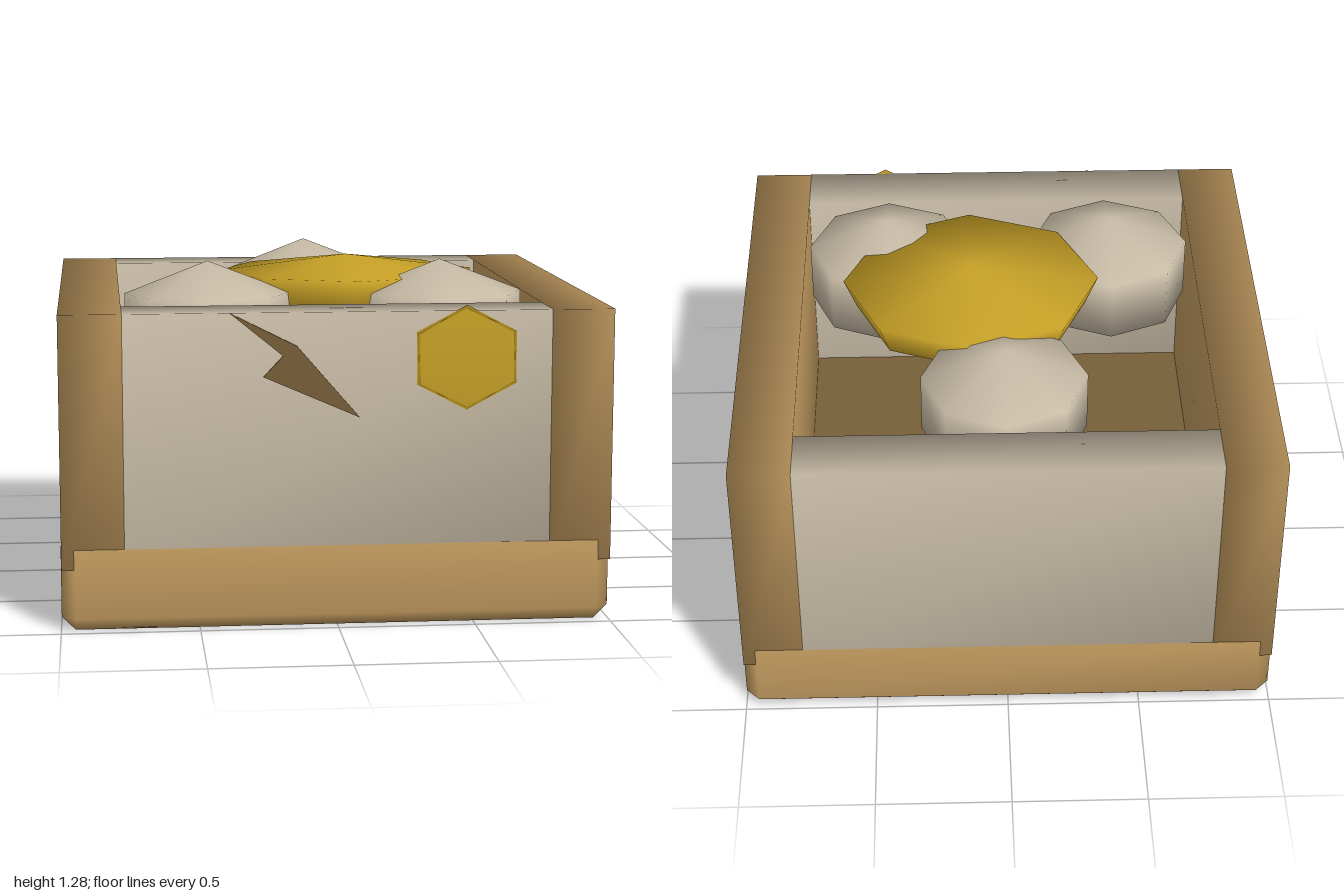
import * as THREE from 'three';
import { mergeVertices } from 'three/addons/utils/BufferGeometryUtils.js';
import { ConvexGeometry } from 'three/addons/geometries/ConvexGeometry.js';

function material(name, color) {
  const m = new THREE.MeshStandardMaterial({ color });
  m.name = name;
  return m;
}

// Shared vertices with averaged normals give softly shaded edges
function soften(geometry) {
  geometry.deleteAttribute('normal');
  if (geometry.attributes.uv) geometry.deleteAttribute('uv');
  const g = mergeVertices(geometry, 1e-4);
  g.computeVertexNormals();
  return g;
}

// Box given by its minimum and maximum on each axis
function softBox([x0, x1], [y0, y1], [z0, z1]) {
  const g = new THREE.BoxGeometry(x1 - x0, y1 - y0, z1 - z0);
  g.translate((x0 + x1) / 2, (y0 + y1) / 2, (z0 + z1) / 2);
  return soften(g);
}

// Box with every edge cut off by c
function chamferBox(w, h, d, c) {
  const points = [];
  for (const sx of [-1, 1]) for (const sy of [-1, 1]) for (const sz of [-1, 1]) {
    const [x, y, z] = [w / 2, h / 2, d / 2];
    points.push(
      new THREE.Vector3(sx * x, sy * (y - c), sz * (z - c)),
      new THREE.Vector3(sx * (x - c), sy * y, sz * (z - c)),
      new THREE.Vector3(sx * (x - c), sy * (y - c), sz * z));
  }
  return soften(new ConvexGeometry(points));
}

export function createModel() {
  const group = new THREE.Group();
  const wood = material('light wood', 0xc19a5f);
  const darkWood = material('dark wood', 0x785f39);
  const cream = material('cream', 0xc8bca6);
  const gold = material('gold', 0xc9a227);

  function add(name, geometry, mat, x = 0, y = 0, z = 0) {
    const mesh = new THREE.Mesh(geometry, mat);
    mesh.name = name;
    mesh.position.set(x, y, z);
    group.add(mesh);
    return mesh;
  }

  // Chamfered base and the floor lying inside the box
  add('base', chamferBox(1.996, 0.35, 1.988, 0.05), wood, 0, 0.175, -0.003);
  add('floor', new THREE.BoxGeometry(1.54, 0.008, 1.55), darkWood, 0, 0.355, -0.007);

  // Thick wooden sides, cream front and back panels between them
  const depth = [-0.995, 0.988];
  add('leftWall', softBox([0.77, 0.996], [0.23, 1.15], depth), wood);
  add('rightWall', softBox([-0.996, -0.77], [0.23, 1.15], depth), wood);
  add('frontPanel', softBox([-0.77, 0.77], [0.23, 1.15], [0.765, 0.988]), cream);
  add('backPanel', softBox([-0.77, 0.77], [0.23, 1.15], [-0.995, -0.778]), cream);

  // Flattened eight-sided cream balls
  const ball = new THREE.SphereGeometry(0.36, 8, 3);
  ball.scale(1, 0.24 / 0.36, 1);
  [[-0.44, 0.43], [0.44, 0.43], [0, -0.45]].forEach(([x, z], i) =>
    add('creamBall' + (i + 1), ball, cream, x, 1.04, z));

  // Wide gold nugget, pressed flat while keeping its round shading
  const nugget = new THREE.SphereGeometry(0.56, 8, 3);
  const p = nugget.attributes.position;
  for (let i = 0; i < p.count; i++) {
    const taper = p.getY(i) < 0 ? 0.9 : 1;
    p.setXYZ(i, p.getX(i) * taper * 1.02, p.getY(i) * 0.12 / 0.56, p.getZ(i) * taper * 0.95);
  }
  add('goldNugget', nugget, gold, 0.115, 1.15, 0.11);

  // Hexagonal plate on the front
  const hex = new THREE.CylinderGeometry(0.175, 0.19, 0.009, 6);
  hex.rotateX(Math.PI / 2);
  hex.rotateZ(Math.PI);
  hex.scale(1.1, 1, 1);
  add('hexagonPlate', soften(hex), gold, 0.46, 0.98, 0.992);

  // Zigzag plate on the front
  const zigzag = new THREE.Shape([
    [-0.39, 1.15], [-0.27 + 0.07, 0.995], [-0.27, 0.92], [0.075, 0.77], [-0.15, 1.03],
  ].map(([x, y]) => new THREE.Vector2(x, y)));
  add('zigzagPlate', new THREE.ExtrudeGeometry(zigzag, { depth: 0.008, bevelEnabled: false }),
    darkWood, 0, 0, 0.988);

  return group;
}
